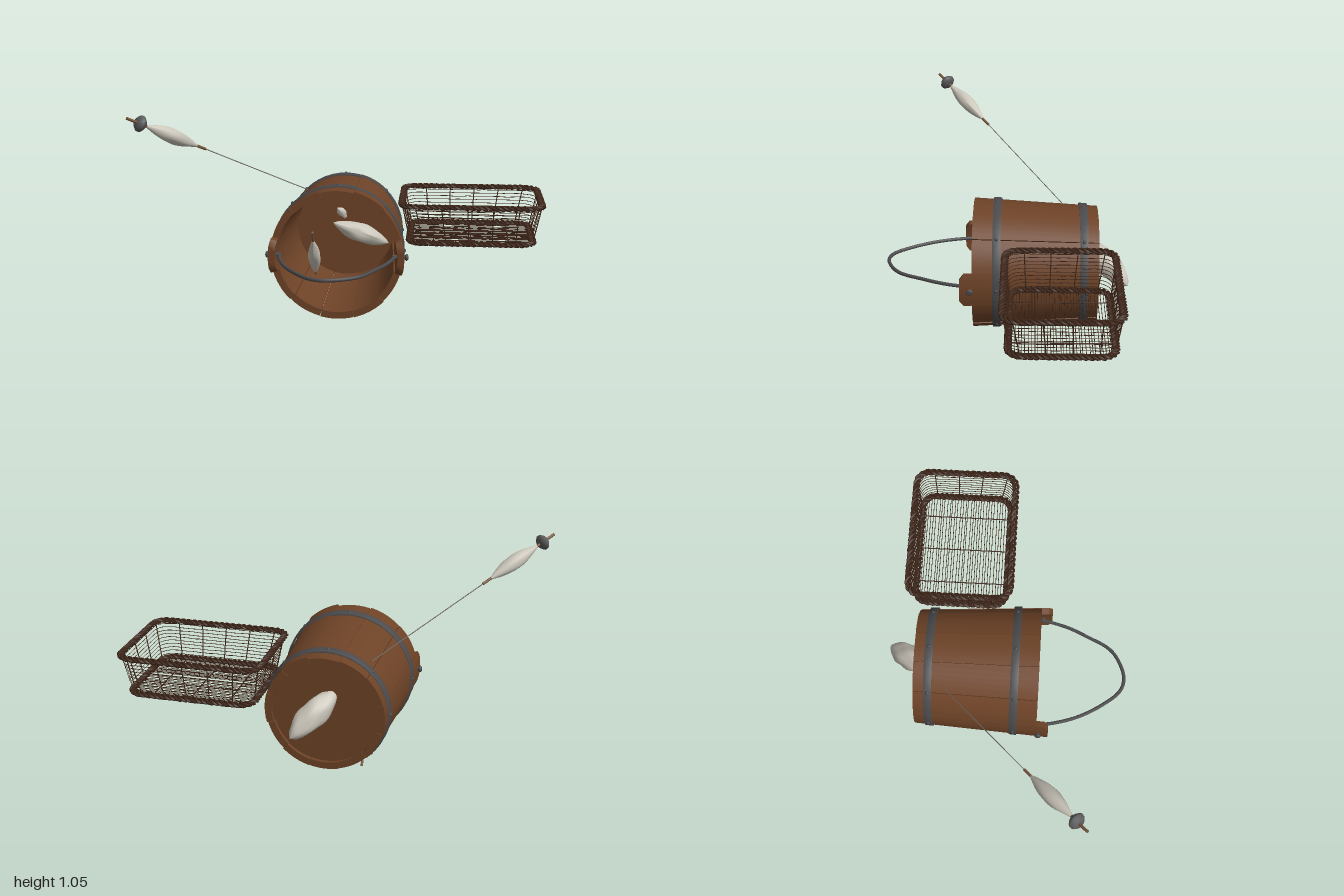
import * as THREE from 'three';

const mat = (name, color) => {
  const m = new THREE.MeshStandardMaterial({ color });
  m.name = name;
  return m;
};
const V = (x, y, z) => new THREE.Vector3(x, y, z);
const UP = V(0, 1, 0);

// bucket: lies on its side, axis along z
const CX = -0.04, CY = 0.337, Z0 = -0.455, Z1 = 0.165;
const radiusAt = z => 0.29 + (0.037 * (z - Z0)) / (Z1 - Z0);
const onBucket = (a, r, z) => V(CX + Math.sin(a) * r, CY + Math.cos(a) * r, z);

let seed = 7;
const rand = () => (seed = (seed * 16807) % 2147483647) / 2147483647;

export function createModel() {
  const wood = mat('bucket wood', 0x6e4327);
  const iron = mat('iron', 0x4b4b4d);
  const wool = mat('wool', 0xcac5b9);
  const stick = mat('spindle wood', 0x7d5b40);
  const stone = mat('whorl stone', 0x5c5c5e);
  const wicker = mat('wicker', 0x40271a);
  const yarn = mat('yarn', 0x77736b);

  const root = new THREE.Group();
  const group = name => {
    const g = new THREE.Group();
    g.name = name;
    root.add(g);
    return g;
  };
  const add = (parent, name, geo, material) => {
    const m = new THREE.Mesh(geo, material);
    m.name = name;
    parent.add(m);
    return m;
  };
  // stretches a y-aligned unit shape from point a to point b
  const span = (mesh, a, b) => {
    const d = b.clone().sub(a);
    mesh.position.copy(a);
    mesh.quaternion.setFromUnitVectors(UP, d.clone().normalize());
    mesh.scale.y = d.length();
    return mesh;
  };
  const rod = (parent, name, a, b, r, material, sides = 8) =>
    span(add(parent, name, new THREE.CylinderGeometry(r, r, 1, sides).translate(0, 0.5, 0), material), a, b);

  // bends a unit box into a slab of the bucket wall
  const wallPiece = (angle, half, z0, z1, inner, outer, chamfer = 0, segs = 6) => {
    const g = new THREE.BoxGeometry(1, 1, 1, segs, 1, 1);
    const p = g.attributes.position;
    for (let i = 0; i < p.count; i++) {
      const u = p.getX(i) * 2;
      const end = p.getZ(i) > 0;
      const z = end ? z1 - (Math.abs(u) > 0.9 ? chamfer : 0) : z0;
      const q = onBucket(angle + u * half, radiusAt(z) + (p.getY(i) > 0 ? outer : inner), z);
      p.setXYZ(i, q.x, q.y, q.z);
    }
    g.computeVertexNormals();
    return g;
  };

  // staves, two of them lengthened into handle ears
  const bucket = group('bucket');
  const staves = 12;
  for (let i = 0; i < staves; i++) {
    const ear = i % 6 === 3;
    const a = (i / staves) * Math.PI * 2;
    const bump = ear ? 0.004 : (rand() - 0.5) * 0.009;
    add(bucket, ear ? 'earStave' : 'stave',
      wallPiece(a, Math.PI / staves - 0.004, Z0, ear ? 0.225 : Z1, -0.034 + bump, bump, ear ? 0.02 : 0), wood);
  }
  // bottom board
  const bottom = add(bucket, 'bottomBoard', new THREE.CylinderGeometry(0.266, 0.266, 0.03, 48), wood);
  bottom.rotation.x = Math.PI / 2;
  bottom.position.set(CX, CY, -0.42);

  // iron hoops with rivets
  for (const [z0, z1] of [[-0.402, -0.362], [0.026, 0.066]]) {
    const rIn0 = radiusAt(z0), rIn1 = radiusAt(z1);
    const profile = [[rIn0, z0], [rIn0 + 0.01, z0], [rIn1 + 0.01, z1], [rIn1, z1]].map(([r, z]) => new THREE.Vector2(r, z));
    const hoop = add(bucket, 'hoop', new THREE.LatheGeometry(profile, 48), iron);
    hoop.material.side = THREE.DoubleSide;
    hoop.rotation.x = Math.PI / 2;
    hoop.position.set(CX, CY, 0);
    for (let i = 0; i < 8; i++) {
      const z = (z0 + z1) / 2;
      const rivet = add(bucket, 'rivet', new THREE.SphereGeometry(0.01, 8, 6), iron);
      rivet.position.copy(onBucket((i / 8) * Math.PI * 2, radiusAt(z) + 0.007, z));
    }
  }

  // bail handle and its pins
  const bail = [[-0.325, 0.17], [-0.31, 0.26], [-0.27, 0.38], [-0.2, 0.5], [-0.125, 0.585], [-0.06, 0.605],
    [0.02, 0.585], [0.1, 0.53], [0.165, 0.41], [0.21, 0.31], [0.248, 0.17]].map(([x, z]) => V(x, 0.337, z));
  add(bucket, 'handle', new THREE.TubeGeometry(new THREE.CatmullRomCurve3(bail), 48, 0.009, 8), iron);
  for (const s of [-1, 1]) {
    rod(bucket, 'handlePin', V(CX + s * 0.275, 0.337, 0.175), V(CX + s * 0.352, 0.337, 0.175), 0.011, iron);
    const head = add(bucket, 'pinHead', new THREE.SphereGeometry(0.017, 10, 8), iron);
    head.position.set(CX + s * 0.343, 0.337, 0.175);
    head.scale.x = 0.6;
  }

  // basket: rounded rectangle at height fraction t (0 bottom, 1 top)
  const basket = group('basket');
  const BX = 0.62, BZ = -0.262;
  const dims = t => ({ w: 0.312 + 0.04 * t, d: 0.238 + 0.024 * t, y: 0.358 + 0.192 * t });
  const loopPoints = (t, n) => {
    const { w, d, y } = dims(t), c = 0.07, s = new THREE.Shape();
    [[1, -1], [1, 1], [-1, 1], [-1, -1]].forEach(([sx, sz], i) =>
      s.absarc(sx * (w - c), sz * (d - c), c, ((i - 1) * Math.PI) / 2, (i * Math.PI) / 2, false));
    s.closePath();
    return s.getSpacedPoints(n).slice(0, n).map(p => V(BX + p.x, y, BZ + p.y));
  };
  const closedTube = (name, pts, segs, r, sides) => {
    const curve = new THREE.CatmullRomCurve3(pts, true);
    curve.arcLengthDivisions = 800;
    add(basket, name, new THREE.TubeGeometry(curve, segs, r, sides, true), wicker);
  };
  // braided rims
  for (const t of [0, 1]) {
    const n = 208, base = loopPoints(t, n);
    for (let k = 0; k < 3; k++) {
      const pts = base.map((p, i) => {
        const tangent = base[(i + 1) % n].clone().sub(base[(i + n - 1) % n]).normalize();
        const out = V(tangent.z, 0, -tangent.x);
        const phase = (i / n) * 26 * Math.PI * 2 + (k * Math.PI * 2) / 3;
        return p.clone().addScaledVector(out, Math.cos(phase) * 0.012).addScaledVector(UP, Math.sin(phase) * 0.007);
      });
      closedTube('rimStrand', pts, 400, 0.0075, 5);
    }
  }
  // woven wall strands
  for (let k = 1; k <= 10; k++) {
    const pts = loopPoints(k / 11, 80).map(p => p.add(V(0, (rand() - 0.5) * 0.003, 0)));
    closedTube('wallStrand', pts, 120, 0.0017, 4);
  }
  // upright stakes
  const low = loopPoints(0, 18), high = loopPoints(1, 18);
  low.forEach((p, i) => rod(basket, 'stake', p, high[i], 0.0028, wicker, 5));
  // floor weave
  for (let i = 0; i < 32; i++) {
    const z = BZ - 0.22 + (0.44 * i) / 31 + (rand() - 0.5) * 0.006;
    const y = 0.354 + rand() * 0.006;
    rod(basket, 'floorStrand', V(BX - 0.305, y, z), V(BX + 0.305, y, z), 0.0016, wicker, 4);
  }
  for (const x of [-0.19, 0, 0.19])
    rod(basket, 'floorStake', V(BX + x, 0.355, BZ - 0.235), V(BX + x, 0.355, BZ + 0.235), 0.003, wicker, 5);

  // lumpy spindle-shaped wool from a to b
  const fleece = (parent, a, b, r, power, lump) => {
    const profile = [];
    for (let i = 0; i <= 18; i++)
      profile.push(new THREE.Vector2(Math.max(0.0005, r * Math.pow(Math.sin((Math.PI * i) / 18), power)), i / 18));
    const g = new THREE.LatheGeometry(profile, 18);
    const p = g.attributes.position;
    for (let i = 0; i < p.count; i++) {
      const x = p.getX(i), y = p.getY(i), z = p.getZ(i), ang = Math.atan2(z, x);
      const f = 1 + lump * (Math.sin(ang * 5 + y * 9) + 0.6 * Math.sin(ang * 3 - y * 14));
      p.setXYZ(i, x * f, y, z * f);
    }
    g.computeVertexNormals();
    return span(add(parent, 'woolBundle', g, wool), a, b);
  };

  // drop spindle hanging out on its thread
  const spindle = group('dropSpindle');
  const tip = V(-0.998, 1.038, 0.4), tail = V(-0.69, 0.848, 0.115);
  const along = t => tip.clone().lerp(tail, t);
  rod(spindle, 'spindleStick', tip, tail, 0.007, stick);
  fleece(spindle, along(0.2), along(0.93), 0.037, 1.05, 0.03);
  const whorlShape = [[0.004, -0.02], [0.026, -0.02], [0.04, -0.005], [0.04, 0.006], [0.026, 0.02], [0.004, 0.02]]
    .map(([r, y]) => new THREE.Vector2(r, y));
  const whorl = add(spindle, 'whorl', new THREE.LatheGeometry(whorlShape, 16), stone);
  whorl.position.copy(along(0.165));
  whorl.quaternion.setFromUnitVectors(UP, tail.clone().sub(tip).normalize());
  rod(spindle, 'thread', tail, V(-0.13, 0.5, -0.39), 0.0025, yarn, 6);

  // second spindle resting inside the bucket
  const inner = group('innerSpindle');
  const foot = V(-0.195, 0.015, -0.33), top = V(-0.183, 0.4, -0.03);
  rod(inner, 'spindleStick', foot, top, 0.006, stick);
  fleece(inner, foot.clone().lerp(top, 0.28), foot.clone().lerp(top, 0.88), 0.032, 0.9, 0.04);

  // loose wool inside the bucket and poking through its bottom
  const loose = group('looseWool');
  fleece(loose, V(-0.1, 0.395, -0.27), V(0.19, 0.27, -0.35), 0.05, 0.75, 0.05);
  fleece(loose, V(-0.09, 0.445, -0.4), V(0.085, 0.27, -0.61), 0.062, 0.6, 0.06);

  return root;
}
